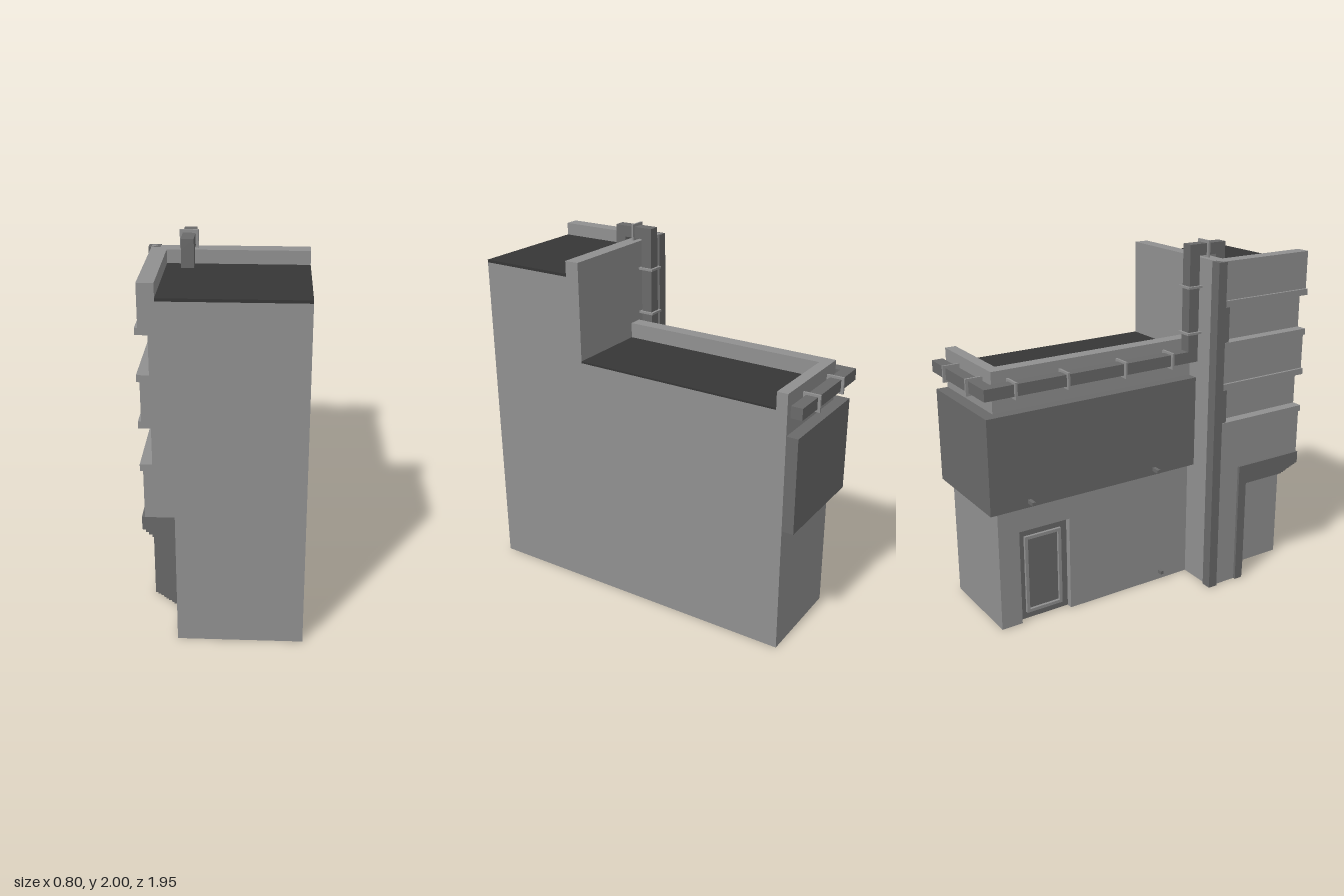
import * as THREE from 'three';

export function createModel() {
  const model = new THREE.Group();
  model.name = 'cornerBuilding';
  const mat = (name, color) => {
    const m = new THREE.MeshStandardMaterial({ color });
    m.name = name;
    return m;
  };
  const wall = mat('paleWall', 0x909090);
  const trim = mat('darkTrim', 0x696969);
  const roof = mat('roofing', 0x363636);
  const F = 0.975; // cut plane at the front

  // Box from its limits on each axis
  const box = (name, m, x0, x1, y0, y1, z0, z1, parent = model) => {
    const mesh = new THREE.Mesh(new THREE.BoxGeometry(x1 - x0, y1 - y0, z1 - z0), m);
    mesh.position.set((x0 + x1) / 2, (y0 + y1) / 2, (z0 + z1) / 2);
    mesh.name = name;
    parent.add(mesh);
    return mesh;
  };
  const group = (name) => {
    const g = new THREE.Group();
    g.name = name;
    model.add(g);
    return g;
  };

  // Tower: core, upper storeys and parapets on two sides
  const tower = group('tower');
  box('towerCore', wall, -0.24, 0.4, 0, 1.825, 0.35, F, tower);
  box('towerUpperWall', wall, -0.34, -0.24, 0.72, 1.825, 0.35, F, tower);
  box('towerLowerWall', wall, -0.385, -0.24, 0, 0.72, 0.35, 0.53, tower);
  box('towerRoof', roof, -0.305, 0.4, 1.825, 1.84, 0.43, F, tower);
  box('towerSideParapet', wall, -0.385, -0.305, 1.825, 1.91, 0.35, F, tower);
  box('towerBackParapet', wall, -0.305, 0.4, 1.825, 1.91, 0.35, 0.43, tower);
  box('cornerPilaster', trim, -0.4, -0.34, 0, 1.91, 0.335, 0.39, tower);

  // Spandrels between the recessed window bands
  for (const [y0, y1] of [[0.72, 1.01], [1.2, 1.47], [1.665, 1.825]])
    box('spandrel', wall, -0.385, -0.34, y0, y1, 0.35, F, tower);
  // Ledges above and below each window band
  for (const y of [0.975, 1.2, 1.435, 1.665])
    box('ledge', wall, -0.4, -0.34, y, y + 0.035, 0.39, F, tower);
  // Dark jamb at the end of each window band
  for (const [y0, y1] of [[1.01, 1.2], [1.47, 1.665]])
    box('windowJamb', trim, -0.395, -0.34, y0, y1, 0.39, 0.42, tower);

  // Portal: nested L-shaped slabs step inward
  const portal = group('portal');
  const steps = 9, d = 0.145 / steps;
  for (let i = 0; i < steps; i++) {
    const top = 0.65 - i * 0.0145, jamb = 0.58 + i * 0.0145;
    const s = new THREE.Shape();
    [[0.53, 0], [jamb, 0], [jamb, top], [F, top], [F, 0.72], [0.53, 0.72]].forEach(([z, y], k) =>
      k ? s.lineTo(-z, y) : s.moveTo(-z, y));
    const g = new THREE.ExtrudeGeometry(s, { depth: d, bevelEnabled: false });
    g.rotateY(Math.PI / 2);
    const slab = new THREE.Mesh(g, trim);
    slab.position.x = -0.4 + i * d;
    slab.name = 'portalStep';
    portal.add(slab);
  }
  box('portalInnerFrame', trim, -0.255, -0.24, 0.53, 0.72, 0.53, F, portal);
  box('portalInnerJamb', trim, -0.255, -0.24, 0, 0.53, 0.53, 0.71, portal);

  // Low wing with a doorway recess
  const wing = group('wing');
  const W = -0.145, B = -0.88;
  box('wingCore', wall, -0.1, 0.4, 0, 1.36, B, 0.35, wing);
  box('wingSkinBack', wall, W, -0.1, 0, 0.55, B, -0.757, wing);
  box('wingSkinFront', wall, W, -0.1, 0, 0.55, -0.45, 0.35, wing);
  box('wingSkinUpper', wall, W, -0.1, 0.55, 1.36, B, 0.35, wing);
  box('wingSideParapet', wall, W, -0.07, 1.36, 1.455, B, 0.35, wing);
  box('wingBackParapet', wall, -0.07, 0.4, 1.36, 1.455, B, -0.82, wing);
  box('wingRoof', roof, -0.07, 0.4, 1.36, 1.37, -0.82, 0.35, wing);

  // Door with a pale frame
  box('door', trim, -0.109, -0.1, 0, 0.55, -0.757, -0.45, wing);
  for (const z of [-0.715, -0.51])
    box('doorFrameSide', wall, -0.125, -0.109, 0.04, 0.5, z, z + 0.018, wing);
  for (const y of [0.04, 0.482])
    box('doorFrameRail', wall, -0.125, -0.109, y, y + 0.018, -0.697, -0.51, wing);

  // Overhanging band around the wing
  box('overhangBack', trim, -0.205, 0.4, 0.71, 1.235, -0.945, B, wing);
  box('overhangSide', trim, -0.205, W, 0.71, 1.235, B, 0.35, wing);

  // Drain spouts
  for (const z of [-0.72, 0.07])
    box('drainSpout', trim, -0.255, -0.205, 0.735, 0.755, z - 0.01, z + 0.01, wing);
  box('groundTap', trim, -0.175, W, 0.04, 0.06, 0.15, 0.17, wing);

  // Duct: around the wing, up the tower and over its parapet
  const duct = group('duct');
  const x0 = -0.228, x1 = -0.165;
  box('ductBack', trim, x0, 0.4, 1.335, 1.398, -0.96, -0.897, duct);
  box('ductSide', trim, x0, x1, 1.335, 1.398, -0.897, 0.275, duct);
  box('ductRiser', trim, x0, x1, 1.335, 1.985, 0.275, 0.34, duct);
  box('ductBridge', trim, x0, x1, 1.922, 1.985, 0.34, 0.51, duct);
  box('ductDrop', trim, x0, x1, 1.84, 1.922, 0.447, 0.51, duct);

  // Clamps that fix the duct to the walls
  const t = 0.006;
  for (const x of [-0.045, 0.23])
    box('clamp', wall, x - t, x + t, 1.32, 1.41, -0.975, B, duct);
  for (const z of [-0.79, -0.49, -0.14, 0.165])
    box('clamp', wall, -0.243, W, 1.32, 1.41, z - t, z + t, duct);
  for (const y of [1.5, 1.755])
    box('clamp', wall, -0.243, -0.15, y - t, y + t, 0.26, 0.35, duct);
  box('clamp', wall, -0.243, -0.15, 1.91, 2, 0.39 - t, 0.39 + t, duct);

  return model;
}
